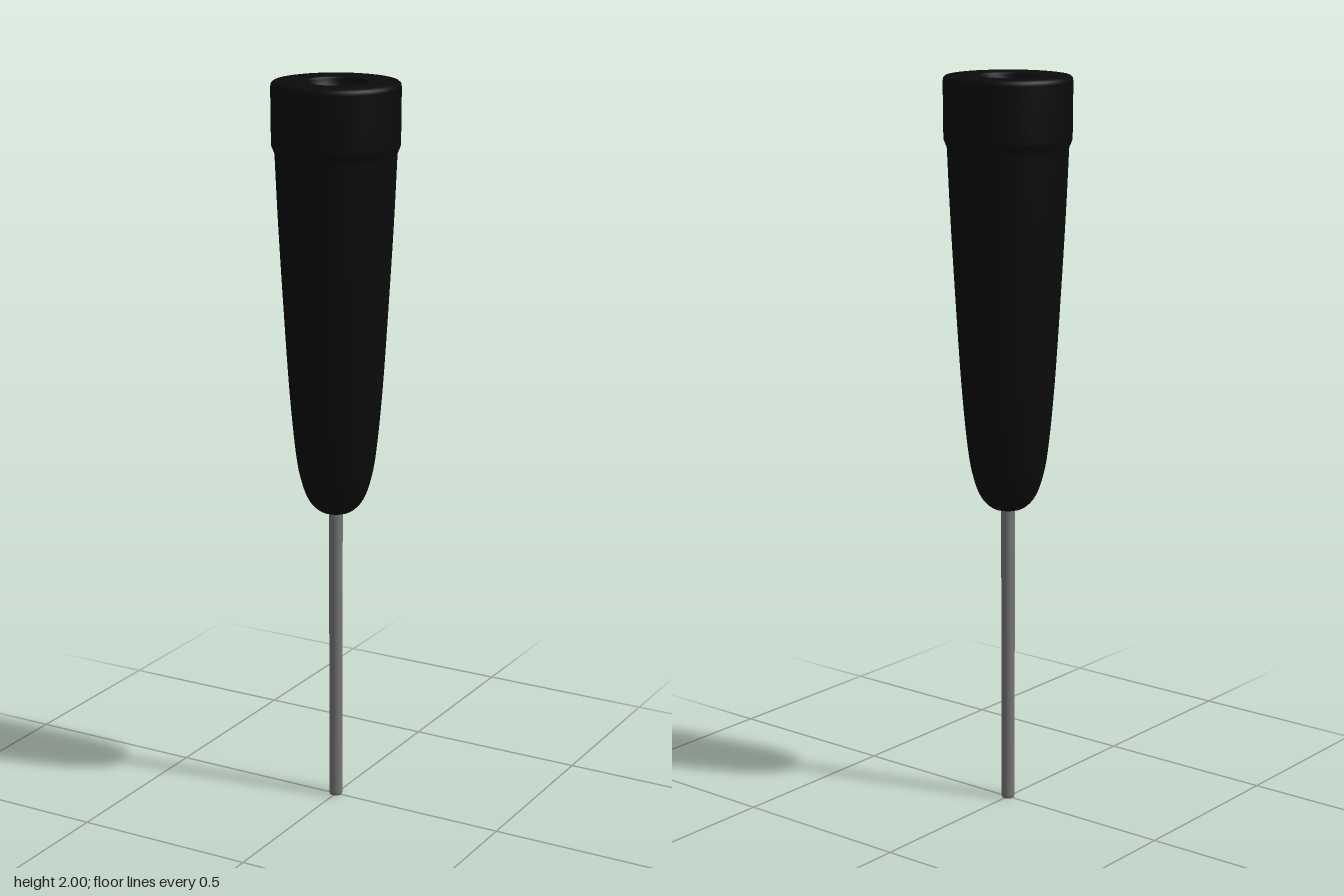
import * as THREE from 'three';

const SEGMENTS = 64;

// Revolves a profile of [radius, height] pairs, listed bottom to top on the outside.
function turned(name, profile, material) {
  const points = profile.map(([r, y]) => new THREE.Vector2(r, y));
  const mesh = new THREE.Mesh(new THREE.LatheGeometry(points, SEGMENTS), material);
  mesh.name = name;
  return mesh;
}

export function createModel() {
  const group = new THREE.Group();
  group.name = 'screwdriver';
  const black = new THREE.MeshStandardMaterial({ color: 0x0b0b0b });
  const steel = new THREE.MeshStandardMaterial({ color: 0x777777 });

  // Handle grip: rounded nose sweeping into a long taper
  const grip = new THREE.SplineCurve([
    [0.018, 0.832], [0.045, 0.839], [0.073, 0.868], [0.093, 0.92], [0.108, 1.0],
    [0.125, 1.18], [0.142, 1.45], [0.153, 1.65], [0.16, 1.81],
  ].map(([r, y]) => new THREE.Vector2(r, y)));
  const gripProfile = grip.getPoints(48).map((p) => [p.x, p.y]);

  group.add(turned('handle', [
    [0, 0.83],
    ...gripProfile,
    // Shoulder and collar
    [0.161, 1.815], [0.168, 1.832], [0.169, 1.84],
    [0.17, 1.985], [0.1685, 1.994], [0.163, 1.999], [0.157, 2],
    // Flat end with a shallow round recess
    [0.086, 2], [0.081, 1.998], [0.079, 1.993],
    [0.076, 1.978], [0.07, 1.971], [0.06, 1.968], [0, 1.968],
  ], black));

  // Slim shaft with a lightly chamfered tip
  group.add(turned('shaft', [
    [0, 0], [0.0165, 0], [0.017, 0.0005], [0.0185, 0.008], [0.0185, 0.009], [0.0185, 0.86],
  ], steel));

  return group;
}
